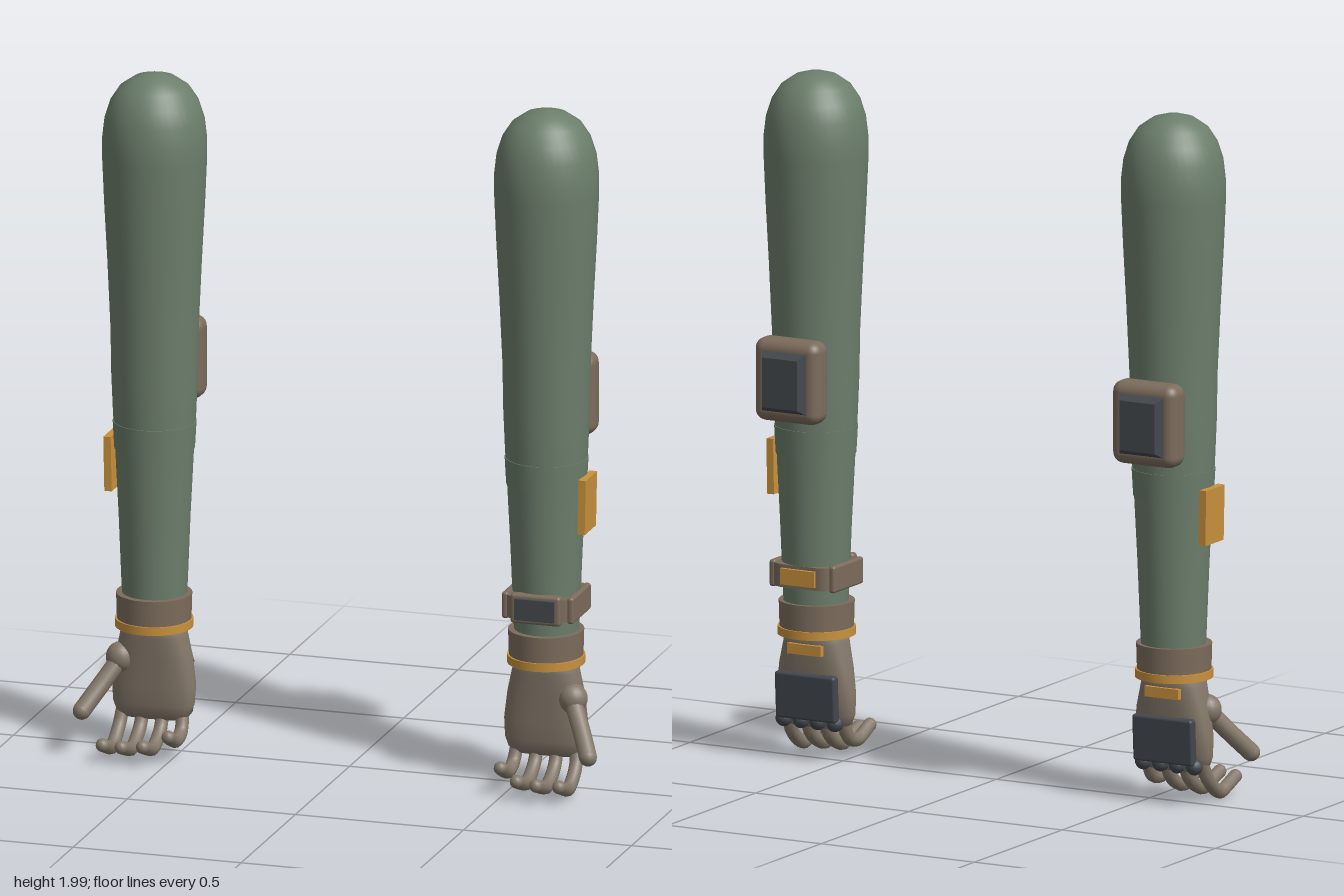
import * as THREE from 'three';
import { RoundedBoxGeometry } from 'three/addons/geometries/RoundedBoxGeometry.js';

const mat = (name, color, side = THREE.FrontSide) => {
  const m = new THREE.MeshStandardMaterial({ color, side });
  m.name = name;
  return m;
};

// Closed skin over superellipse rings [y, halfWidth, halfDepth, zCentre], listed top to bottom
function loft(rings, n = 32, power = 0.75) {
  const pos = [], idx = [];
  const sp = (v) => Math.sign(v) * Math.abs(v) ** power;
  rings.forEach(([y, w, d, z]) => {
    for (let j = 0; j < n; j++) {
      const a = (j / n) * Math.PI * 2;
      pos.push(w * sp(Math.cos(a)), y, z + d * sp(Math.sin(a)));
    }
  });
  for (let i = 0; i < rings.length - 1; i++) {
    for (let j = 0; j < n; j++) {
      const k = (j + 1) % n, a = i * n, b = a + n;
      idx.push(a + j, a + k, b + j, a + k, b + k, b + j);
    }
  }
  const g = new THREE.BufferGeometry();
  g.setAttribute('position', new THREE.Float32BufferAttribute(pos, 3));
  g.setIndex(idx);
  g.computeVertexNormals();
  return g;
}

// Box whose outer (-z) face is smaller than its base
function bevelPlate(w, h, d, inset) {
  const g = new THREE.BoxGeometry(w, h, d).toNonIndexed();
  const p = g.attributes.position;
  for (let i = 0; i < p.count; i++) {
    if (p.getZ(i) < 0) {
      p.setX(i, p.getX(i) - Math.sign(p.getX(i)) * inset);
      p.setY(i, p.getY(i) - Math.sign(p.getY(i)) * inset);
    }
  }
  g.computeVertexNormals();
  return g;
}

function roundedRect(target, h, r) {
  target.moveTo(h, -h + r);
  target.absarc(h - r, h - r, r, 0, Math.PI / 2);
  target.absarc(-h + r, h - r, r, Math.PI / 2, Math.PI);
  target.absarc(-h + r, -h + r, r, Math.PI, Math.PI * 1.5);
  target.absarc(h - r, -h + r, r, Math.PI * 1.5, Math.PI * 2);
  return target;
}

export function createModel() {
  const green = mat('sleeve green', 0x6c7e6b);
  const glove = mat('glove taupe', 0x84786a);
  const strap = mat('strap brown', 0x7c6c5c);
  const gold = mat('amber trim', 0xc8913c);
  const dark = mat('dark plate', 0x43484d);

  const add = (parent, name, geo, material, x = 0, y = 0, z = 0) => {
    const m = new THREE.Mesh(geo, material);
    m.name = name;
    m.position.set(x, y, z);
    parent.add(m);
    return m;
  };

  // Round-ended limb segment through points
  const digit = (parent, name, pts, r) => {
    const g = new THREE.Group();
    g.name = name;
    const v = pts.map((p) => new THREE.Vector3(...p));
    add(g, name + 'Shaft', new THREE.TubeGeometry(new THREE.CatmullRomCurve3(v), 16, r, 12), glove);
    [v[0], v[v.length - 1]].forEach((p) =>
      add(g, name + 'End', new THREE.SphereGeometry(r, 12, 10), glove, p.x, p.y, p.z));
    parent.add(g);
  };

  function arm(s) {
    const g = new THREE.Group();
    g.name = s > 0 ? 'leftArm' : 'rightArm';
    g.position.x = s * 0.583;

    // Sleeve with domed shoulder end
    const profile = [[0.09, 0.42], [0.094, 0.5], [0.102, 0.7], [0.112, 0.9], [0.118, 1.0],
      [0.123, 1.12], [0.125, 1.25], [0.134, 1.45], [0.143, 1.62], [0.149, 1.76], [0.149, 1.81],
      [0.142, 1.87], [0.126, 1.92], [0.1, 1.96], [0.06, 1.988], [0.025, 1.998], [0, 2]];
    add(g, 'sleeve', new THREE.LatheGeometry(profile.map((p) => new THREE.Vector2(...p)), 40),
      green, 0, 0, -0.01);
    add(g, 'sleeveBand', new THREE.CylinderGeometry(0.119, 0.1145, 0.08, 40), green, 0, 0.937, -0.01);

    // Elbow pad
    add(g, 'elbowPad', new RoundedBoxGeometry(0.21, 0.24, 0.085, 4, 0.032), strap, 0, 1.13, -0.151);
    add(g, 'elbowPlate', bevelPlate(0.15, 0.18, 0.03, 0.018), dark, 0, 1.13, -0.203);

    // Outer forearm patch
    const patch = add(g, 'forearmPatch', new THREE.BoxGeometry(0.022, 0.16, 0.105), gold, s * 0.122, 0.85, -0.006);
    patch.rotation.z = -s * 0.02;

    // Cuff and trim ring
    add(g, 'cuff', new THREE.CylinderGeometry(0.108, 0.105, 0.1, 40), strap, 0, 0.42, -0.006);
    add(g, 'cuffRing', new THREE.CylinderGeometry(0.111, 0.111, 0.024, 40), gold, 0, 0.383, -0.006);

    // Palm
    add(g, 'palm', loft([[0.4, 0.001, 0.001, -0.006], [0.4, 0.088, 0.066, -0.006],
      [0.35, 0.096, 0.064, -0.006], [0.28, 0.112, 0.058, -0.008], [0.2, 0.122, 0.05, -0.006],
      [0.145, 0.119, 0.043, -0.003], [0.115, 0.108, 0.033, -0.001], [0.1, 0.085, 0.02, 0],
      [0.097, 0.001, 0.001, 0]]), glove);

    // Thumb on the outer side
    const base = add(g, 'thumbBase', new THREE.SphereGeometry(0.042, 18, 14), glove, s * 0.09, 0.278, 0.025);
    base.scale.set(1, 1.05, 0.95);
    digit(g, 'thumb', [[s * 0.095, 0.265, 0.035], [s * 0.135, 0.2, 0.085], [s * 0.17, 0.142, 0.135]], 0.026);

    // Fingers (index to little) and knuckle guards
    [[0.096, 0.174, 0.028], [0.034, 0.193, 0.032], [-0.027, 0.184, 0.036], [-0.089, 0.14, 0.058]]
      .forEach(([x, reach, low], i) => {
        digit(g, 'finger' + (i + 1), [[s * x * 0.95, 0.13, -0.008], [s * x, 0.072, 0.022],
          [s * x, low, reach * 0.5], [s * x, low + 0.008, reach * 0.68], [s * x, low + 0.03, reach]], 0.0195);
        add(g, 'knuckleGuard', new THREE.SphereGeometry(0.024, 14, 10), dark, s * x * 0.9, 0.123, -0.042);
      });

    // Back of hand plate and tag
    const plate = add(g, 'handPlate', new RoundedBoxGeometry(0.195, 0.135, 0.03, 2, 0.008), dark, 0, 0.197, -0.062);
    plate.rotation.x = -0.06;
    add(g, 'handTag', new THREE.BoxGeometry(0.11, 0.03, 0.02), gold, 0, 0.335, -0.07);
    return g;
  }

  const model = new THREE.Group();
  model.name = 'armsPair';
  const left = arm(1);
  model.add(left, arm(-1));

  // Wrist device on the left arm
  const watch = new THREE.Group();
  watch.name = 'wristDevice';
  watch.position.set(0, 0.55, -0.008);
  const ring = roundedRect(new THREE.Shape(), 0.1, 0.045);
  ring.holes.push(roundedRect(new THREE.Path(), 0.08, 0.035));
  const bandGeo = new THREE.ExtrudeGeometry(ring, { depth: 0.066, bevelEnabled: false, curveSegments: 6 });
  bandGeo.rotateX(-Math.PI / 2).translate(0, -0.033, 0);
  add(watch, 'band', bandGeo, strap);
  add(watch, 'case', new RoundedBoxGeometry(0.15, 0.088, 0.03, 3, 0.01), strap, 0, 0, 0.092);
  add(watch, 'screen', new THREE.BoxGeometry(0.118, 0.062, 0.009), dark, 0, 0, 0.11);
  [-1, 1].forEach((k) =>
    add(watch, 'sideBlock', new RoundedBoxGeometry(0.02, 0.078, 0.17, 3, 0.008), strap, k * 0.097, 0, 0));
  add(watch, 'buckle', new THREE.BoxGeometry(0.11, 0.046, 0.014), gold, 0, 0, -0.104);
  left.add(watch);
  return model;
}
